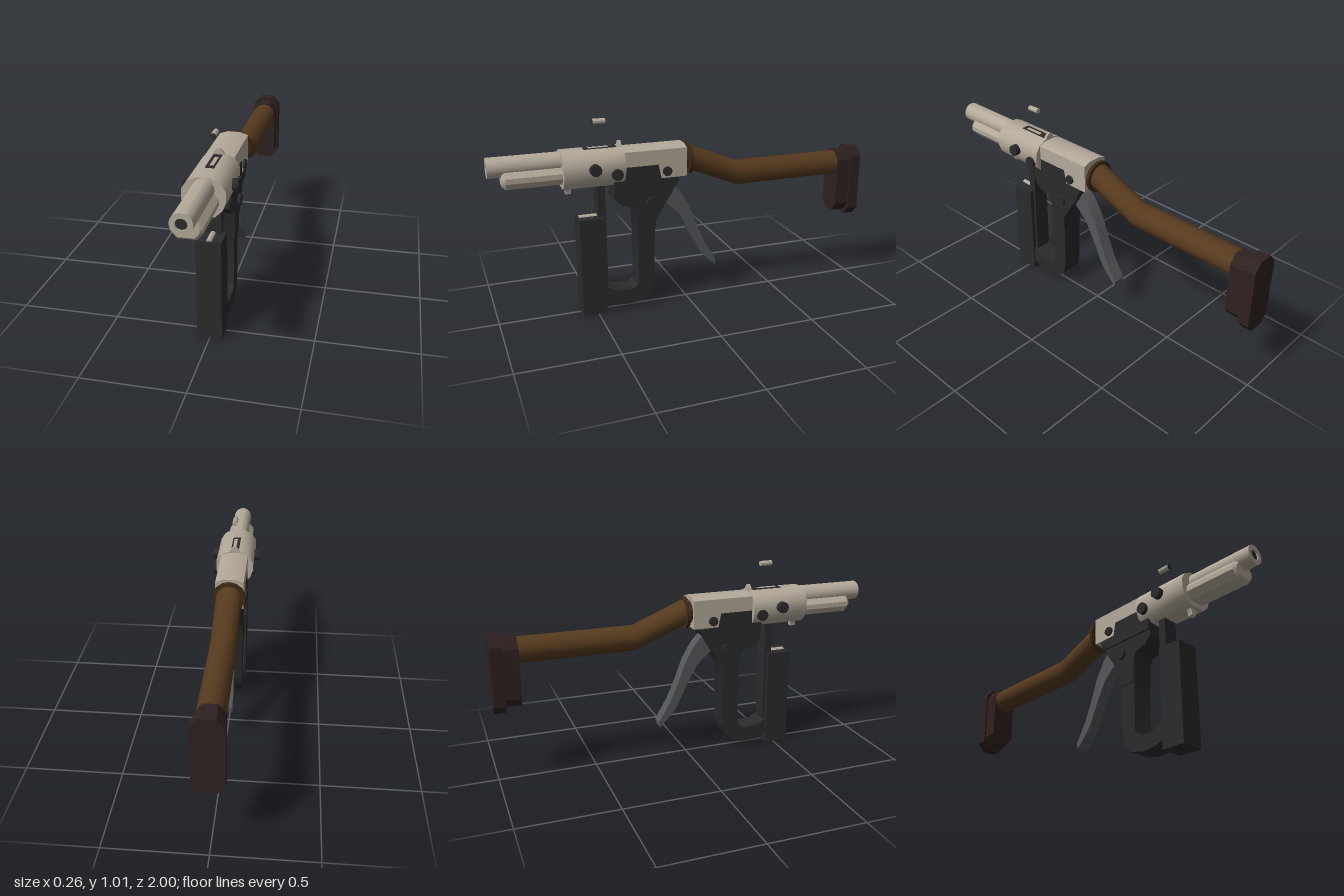
import * as THREE from 'three';
import { toCreasedNormals } from 'three/addons/utils/BufferGeometryUtils.js';

const paint = (name, color) => {
  const m = new THREE.MeshStandardMaterial({ color });
  m.name = name;
  return m;
};

export function createModel() {
  const steel = paint('pale steel', 0xb3a999);
  const black = paint('black metal', 0x2b2b2b);
  const wood = paint('brown wood', 0x563a1e);
  const darkWood = paint('dark brown collar', 0x3f2a16);
  const rubber = paint('dark rubber', 0x2e2120);
  const grey = paint('grey lever metal', 0x57575b);

  const model = new THREE.Group();
  model.name = 'model';
  const add = (name, geo, mat, x = 0, y = 0, z = 0) => {
    const mesh = new THREE.Mesh(toCreasedNormals(geo, 0.6), mat);
    mesh.name = name;
    mesh.position.set(x, y, z);
    model.add(mesh);
    return mesh;
  };
  const outline = (pts) => new THREE.Shape(pts.map((p) => new THREE.Vector2(p[0], p[1])));
  // half outline (+x side, bottom to top) mirrored into a closed shape
  const mirrored = (half) =>
    outline([...half, ...half.slice().reverse().filter((p) => p[0] > 0).map(([x, y]) => [-x, y])]);
  // outline in x, y stretched from z0 to z1
  const along = (name, shape, z0, z1, mat) =>
    add(name, new THREE.ExtrudeGeometry(shape, { depth: z1 - z0, bevelEnabled: false }), mat, 0, 0, z0);
  // outline in z, y given thickness across x
  const across = (name, pts, half, mat) => {
    const g = new THREE.ExtrudeGeometry(outline(pts), { depth: half * 2, bevelEnabled: false });
    g.translate(0, 0, -half).rotateY(-Math.PI / 2);
    return add(name, g, mat);
  };
  const box = (name, w, h, d, mat, x, y, z) => add(name, new THREE.BoxGeometry(w, h, d), mat, x, y, z);
  const rod = (name, r, z0, z1, y, mat, x = 0, sides = 14) =>
    add(name, new THREE.CylinderGeometry(r, r, z1 - z0, sides).rotateX(Math.PI / 2), mat, x, y, (z0 + z1) / 2);

  // Barrel with an open bore
  const ring = new THREE.Shape().absarc(0, 0.815, 0.05, 0, Math.PI * 2);
  ring.holes.push(new THREE.Path().absarc(0, 0.815, 0.026, 0, Math.PI * 2, true));
  add('barrel', new THREE.ExtrudeGeometry(ring, { depth: 0.4, bevelEnabled: false, curveSegments: 16 }), steel, 0, 0, 0.6);
  rod('bore', 0.026, 0.65, 0.992, 0.815, black, 0, 16);

  // Chamfered housing below the barrel
  const lower = mirrored([[0.035, 0.724], [0.057, 0.75], [0.057, 0.766], [0.036, 0.79]]);
  add('underBarrel', new THREE.ExtrudeGeometry(lower, {
    depth: 0.28, bevelThickness: 0.015, bevelSize: 0.013, bevelSegments: 1,
  }), steel, 0, 0, 0.64);

  // Front receiver sleeve, lug and sight
  along('receiverSleeve', mirrored([
    [0.05, 0.685], [0.085, 0.718], [0.1, 0.76], [0.1, 0.81], [0.075, 0.848], [0.035, 0.868],
  ]), 0.345, 0.65, steel);
  along('lowerLug', mirrored([[0.014, 0.65], [0.016, 0.67], [0.026, 0.69]]), 0.605, 0.632, steel);
  along('sight', mirrored([[0.03, 0.86], [0.022, 0.88], [0.006, 0.896]]), 0.345, 0.36, steel);
  box('ejectionPort', 0.042, 0.006, 0.165, black, 0, 0.868, 0.452);
  box('bolt', 0.018, 0.006, 0.1, steel, 0.004, 0.87, 0.46);

  // Rear receiver
  along('rearReceiver', mirrored([[0.072, 0.772], [0.072, 0.848], [0.032, 0.862]]), 0.02, 0.345, steel);
  across('receiverHeel', [[0.02, 0.7], [0.155, 0.7], [0.17, 0.775], [0.02, 0.775]], 0.072, steel);

  // Grip housing
  across('gripHousing', [
    [0.4, 0.645], [0.4, 0.71], [0.345, 0.772], [0.168, 0.772], [0.152, 0.705], [0.055, 0.692], [0.083, 0.645],
  ], 0.071, black);

  // Grip running down and curving forward to the magazine
  across('grip', [
    [0.4, 0.65], [0.4, 0.61], [0.36, 0.572], [0.305, 0.56], [0.284, 0.525], [0.28, 0.15], [0.265, 0.125],
    [0.315, 0.108], [0.4, 0.112], [0.44, 0.135], [0.46, 0.135], [0.46, 0.055], [0.4, 0.032], [0.325, 0.027],
    [0.255, 0.042], [0.21, 0.085], [0.196, 0.15], [0.188, 0.47], [0.14, 0.55], [0.1, 0.61], [0.08, 0.65],
  ].map(([z, y]) => (z === 0.265 ? [0.287, 0.127] : [z, y])), 0.056, black);
  for (const s of [-1, 1]) {
    across('gripSidePlate', [
      [0.4, 0.65], [0.4, 0.61], [0.36, 0.572], [0.305, 0.56], [0.284, 0.525], [0.28, 0.4],
      [0.19, 0.4], [0.188, 0.47], [0.14, 0.55], [0.1, 0.61], [0.08, 0.65],
    ], 0.004, black).position.x = s * 0.058;
  }

  // Cross pins: z, y, radius, half length
  for (const [z, y, r, half] of [
    [0.5, 0.785, 0.029, 0.128], [0.39, 0.75, 0.029, 0.113], [0.125, 0.735, 0.024, 0.084], [0.205, 0.575, 0.029, 0.078],
  ]) {
    add('crossPin', new THREE.CylinderGeometry(r, r, half * 2, 12).rotateZ(Math.PI / 2), black, 0, y, z);
  }

  // Magazine with its guide post and top round
  box('magazine', 0.122, 0.52, 0.125, black, 0, 0.26, 0.517);
  box('magazinePost', 0.08, 0.57, 0.04, black, 0, 0.415, 0.46);
  rod('topRound', 0.014, 0.48, 0.57, 0.516, steel, 0, 10);

  // Floating round above the port
  rod('looseRound', 0.014, 0.42, 0.484, 1.0, steel, 0.005, 10);
  rod('looseRoundTip', 0.014, 0.484, 0.487, 1.0, black, 0.005, 10);

  // Curved squeeze lever
  across('lever', [
    [0.085, 0.655], [0.04, 0.605], [-0.01, 0.52], [-0.055, 0.4], [-0.1, 0.3], [-0.16, 0.2], [-0.155, 0.17],
    [-0.095, 0.23], [-0.06, 0.275], [-0.02, 0.36], [0.05, 0.49], [0.135, 0.57],
  ], 0.032, grey);

  // Stock: a tube whose rings follow three stations
  rod('stockCollar', 0.06, -0.01, 0.022, 0.778, darkWood);
  rod('stockFlange', 0.084, -0.017, 0.001, 0.776, darkWood);
  const stock = new THREE.CylinderGeometry(0.066, 0.066, 2, 14, 2).rotateX(Math.PI / 2);
  const p = stock.attributes.position;
  const stations = [[-0.87, 0.67], [-0.28, 0.67], [-0.012, 0.78]];
  for (let i = 0; i < p.count; i++) {
    const [z, y] = stations[Math.round(p.getZ(i)) + 1];
    p.setXYZ(i, p.getX(i), p.getY(i) + y, z);
  }
  add('stock', stock, wood);

  // Butt: block and wider end plate
  const pad = (w, y0, y1) => mirrored([
    [w * 0.5, y0], [w, y0 + 0.045], [w, y1 - 0.045], [w * 0.5, y1],
  ]);
  along('buttBlock', pad(0.067, 0.397, 0.738), -0.945, -0.865, rubber);
  along('buttPlate', pad(0.075, 0.37, 0.756), -1, -0.942, rubber);

  return model;
}
